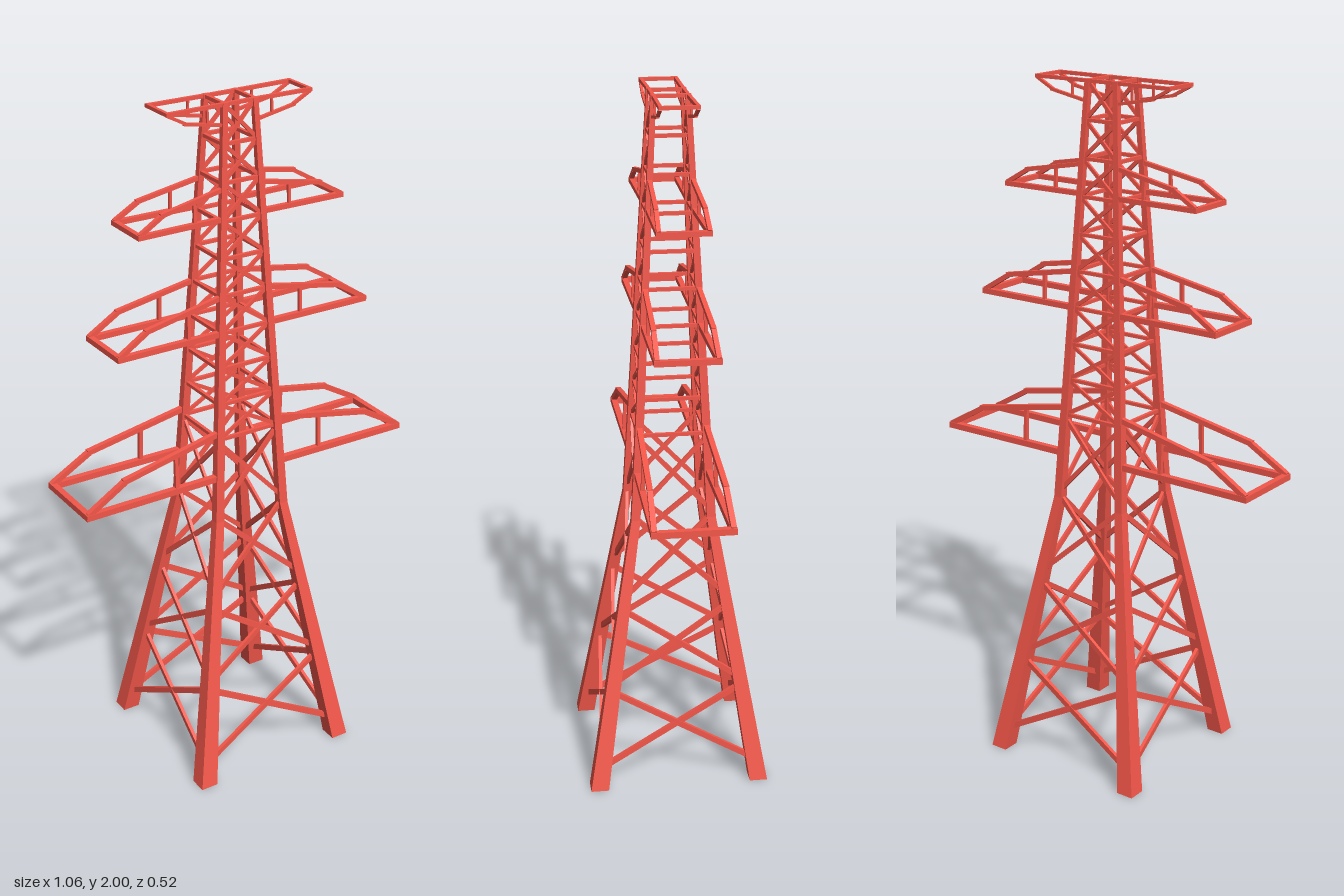
import * as THREE from 'three';

const material = new THREE.MeshStandardMaterial({ color: 0xf4574a, flatShading: true });

// Leg centre offset and thickness at three heights
const LEG = [
  { y: 0, c: 0.236, w: 0.052 },
  { y: 0.8, c: 0.109, w: 0.026 },
  { y: 2, c: 0.047, w: 0.015 },
];

function legCentre(y) {
  const [a, b] = y < 0.8 ? [LEG[0], LEG[1]] : [LEG[1], LEG[2]];
  return THREE.MathUtils.mapLinear(y, a.y, b.y, a.c, b.c);
}

// Bar between two points; depth is its horizontal thickness
function bar(parent, name, from, to, thick, depth = thick) {
  const a = new THREE.Vector3(...from);
  const b = new THREE.Vector3(...to);
  const dir = b.clone().sub(a);
  const length = dir.length();
  dir.normalize();
  const mesh = new THREE.Mesh(new THREE.BoxGeometry(depth, thick, length), material);
  mesh.name = name;
  mesh.position.copy(a).add(b).multiplyScalar(0.5);
  // keep the section upright for sloping bars
  const up = Math.abs(dir.y) > 0.99 ? new THREE.Vector3(1, 0, 0) : new THREE.Vector3(0, 1, 0);
  const x = new THREE.Vector3().crossVectors(up, dir).normalize();
  const y = new THREE.Vector3().crossVectors(dir, x);
  mesh.quaternion.setFromRotationMatrix(new THREE.Matrix4().makeBasis(x, y, dir));
  parent.add(mesh);
}

// Tapered, bent corner leg
function cornerLeg(sx, sz) {
  const geo = new THREE.BoxGeometry(1, 1, 1, 1, 2, 1);
  const p = geo.attributes.position;
  for (let i = 0; i < p.count; i++) {
    const s = LEG[Math.round((p.getY(i) + 0.5) * 2)];
    p.setXYZ(i, sx * s.c + p.getX(i) * s.w, s.y, sz * s.c + p.getZ(i) * s.w);
  }
  geo.computeVertexNormals();
  const mesh = new THREE.Mesh(geo, material);
  mesh.name = 'cornerLeg';
  return mesh;
}

// One face of the tower, built facing +z
function towerFace(name, upperCrosses) {
  const face = new THREE.Group();
  face.name = name;
  const cross = (y0, y1, t) => {
    const c0 = legCentre(y0), c1 = legCentre(y1);
    for (const s of [-1, 1]) {
      bar(face, 'crossBrace', [-s * c0, y0, c0], [s * c1, y1, c1], t, t * 0.6);
    }
  };
  // wide braces between the splayed legs
  cross(0.058, 0.289, 0.017);
  cross(0.312, 0.533, 0.016);
  cross(0.572, 0.802, 0.015);
  cross(0.82, 1.04, 0.013);
  // horizontal rungs and short braces of the upper body
  const count = 9, step = (1.995 - 1.05) / count;
  for (let i = 0; i <= count; i++) {
    const y = 1.05 + i * step;
    const c = legCentre(y);
    bar(face, 'rung', [-c, y, c], [c, y, c], 0.01);
    if (upperCrosses && i < count) cross(y, y + step, 0.011);
  }
  return face;
}

// Pair of side arms, flaring in z from the legs to the tip bar
function crossArm(name, { y, end, kneeX, kneeY, rootY, postX, z, t }) {
  const arm = new THREE.Group();
  arm.name = name;
  const tilt = Math.sign(rootY - y);
  const rootX = legCentre(y), topX = legCentre(rootY);
  const { mapLinear } = THREE.MathUtils;
  const lowZ = (x) => mapLinear(x, rootX, end, rootX, z);
  const topZ = (x) => mapLinear(x, topX, end, topX, z);
  const postY = mapLinear(postX, topX, kneeX, rootY, kneeY);
  for (const sx of [-1, 1]) {
    for (const sz of [-1, 1]) {
      const low = (x) => [sx * x, y, sz * lowZ(x)];
      const top = (x, py) => [sx * x, py, sz * topZ(x)];
      bar(arm, 'straightChord', low(rootX), low(end), t);
      bar(arm, 'slopingChord', top(topX, rootY), top(kneeX + 0.003, kneeY), t * 0.85);
      bar(arm, 'tipChord', top(kneeX - 0.003, kneeY), top(end - t * 0.4, y + tilt * t * 0.3), t * 0.85);
      bar(arm, 'armPost', low(postX), top(postX, postY), t * 0.6);
    }
    const tip = sx * (end - t / 2);
    bar(arm, 'tipBar', [tip, y, -z - t * 0.45], [tip, y, z + t * 0.45], t);
  }
  return arm;
}

export function createModel() {
  const model = new THREE.Group();
  model.name = 'latticeTower';

  for (const sx of [-1, 1]) for (const sz of [-1, 1]) model.add(cornerLeg(sx, sz));

  // Front and back carry crosses all the way up, the sides only low down
  ['frontFace', 'leftFace', 'backFace', 'rightFace'].forEach((name, i) => {
    const face = towerFace(name, i % 2 === 0);
    face.rotation.y = (i * Math.PI) / 2;
    model.add(face);
  });

  model.add(
    crossArm('lowerArms', { y: 0.935, end: 0.53, kneeX: 0.407, kneeY: 1.01, rootY: 1.072, postX: 0.24, z: 0.106, t: 0.018 }),
    crossArm('middleArms', { y: 1.366, end: 0.406, kneeX: 0.315, kneeY: 1.425, rootY: 1.47, postX: 0.182, z: 0.082, t: 0.016 }),
    crossArm('upperArms', { y: 1.688, end: 0.326, kneeX: 0.252, kneeY: 1.734, rootY: 1.77, postX: 0.15, z: 0.067, t: 0.014 }),
    crossArm('topArms', { y: 1.995, end: 0.226, kneeX: 0.17, kneeY: 1.963, rootY: 1.94, postX: 0.1, z: 0.05, t: 0.01 }),
  );
  return model;
}
